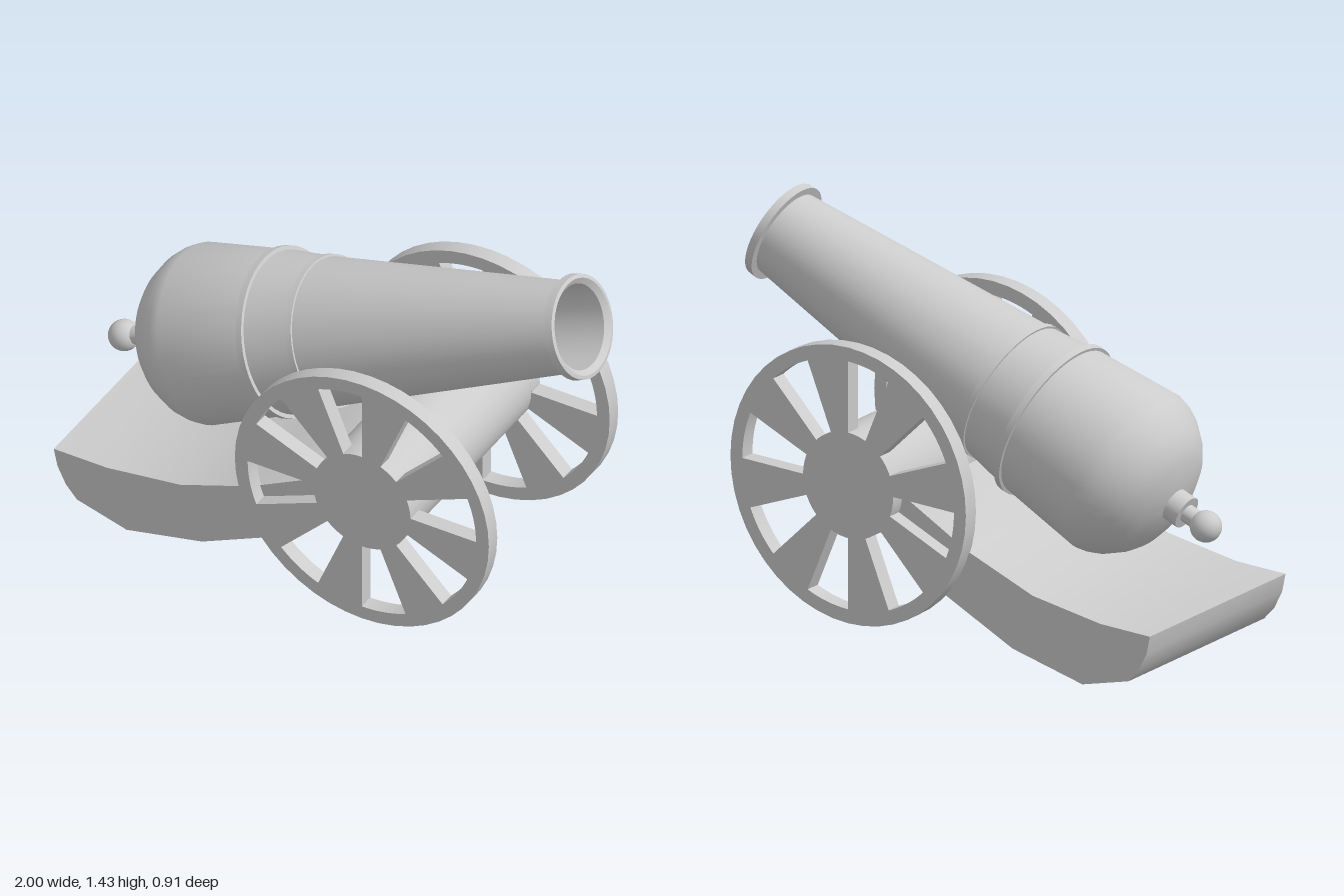
import * as THREE from 'three';
import { toCreasedNormals } from 'three/addons/utils/BufferGeometryUtils.js';

const material = new THREE.MeshStandardMaterial({ color: 0xcccccc });

function addMesh(parent, name, geometry) {
  const mesh = new THREE.Mesh(geometry, material);
  mesh.name = name;
  parent.add(mesh);
  return mesh;
}

// Turned part: [radius, distance along axis] pairs
function turned(points, segments = 48) {
  const profile = points.map(([r, t]) => new THREE.Vector2(r, t));
  return toCreasedNormals(new THREE.LatheGeometry(profile, segments), 0.6);
}

// Flat disc with eight sector-shaped openings between the spokes
function wheelGeometry(depth) {
  const shape = new THREE.Shape().absarc(0, 0, 0.523, 0, Math.PI * 2, false);
  const width = Math.PI / 8;
  for (let i = 0; i < 8; i++) {
    const a = (i * Math.PI) / 4;
    const hole = new THREE.Path();
    hole.absarc(0, 0, 0.47, a, a + width, false);
    hole.absarc(0, 0, 0.2, a + width, a, true);
    hole.closePath();
    shape.holes.push(hole);
  }
  const g = new THREE.ExtrudeGeometry(shape, { depth, bevelEnabled: false, curveSegments: 24 });
  g.translate(0, 0, -depth / 2);
  return toCreasedNormals(g, 0.5);
}

export function createModel() {
  const model = new THREE.Group();
  model.name = 'cannon';

  // Barrel group: local y runs from the rear knob to the muzzle
  const barrel = new THREE.Group();
  barrel.name = 'barrelAssembly';
  barrel.position.set(-0.935, 0.53, 0.017);
  barrel.quaternion.setFromUnitVectors(
    new THREE.Vector3(0, 1, 0),
    new THREE.Vector3(0.93, 0.364, -0.021).normalize()
  );
  model.add(barrel);

  // Barrel with rounded breech, two bands, muzzle rim and hollow bore
  addMesh(barrel, 'barrel', turned([
    [0, 0.145], [0.07, 0.15], [0.16, 0.172], [0.215, 0.2], [0.255, 0.235],
    [0.3, 0.295], [0.318, 0.335], [0.327, 0.375],
    [0.297, 0.705], [0.309, 0.705], [0.309, 0.73], [0.294, 0.73],
    [0.269, 0.9], [0.277, 0.9], [0.275, 0.922], [0.267, 0.922],
    [0.163, 1.968], [0.191, 1.968], [0.189, 2.0], [0.175, 2.003],
    [0.155, 1.985], [0.155, 1.35], [0, 1.35],
  ]));

  // Knob behind the breech
  addMesh(barrel, 'knobCollar', turned([[0, 0.09], [0.062, 0.09], [0.062, 0.16], [0, 0.16]], 32));
  addMesh(barrel, 'knobNeck', turned([[0.034, 0.03], [0.034, 0.1]], 32));
  addMesh(barrel, 'knob', new THREE.SphereGeometry(0.058, 32, 20));

  // Trail: side profile extruded across the carriage
  const trail = [
    [-1, 0.25], [-0.985, 0.18], [-0.95, 0.11], [-0.905, 0.06], [-0.7, 0.003],
    [-0.39, 0.07], [-0.085, 0.21], [0.16, 0.405], [0.3, 0.55], [0.1, 0.545],
    [-0.19, 0.395], [-0.48, 0.29], [-0.78, 0.25],
  ].map(([x, y]) => new THREE.Vector2(x, y));
  const trailGeometry = new THREE.ExtrudeGeometry(new THREE.Shape(trail), { depth: 0.806, bevelEnabled: false });
  trailGeometry.translate(0, 0, -0.403);
  addMesh(model, 'trail', toCreasedNormals(trailGeometry, 0.6));

  // Thick axle between the wheels
  const axle = addMesh(model, 'axle', new THREE.CylinderGeometry(0.2, 0.2, 0.81, 48));
  axle.rotation.x = Math.PI / 2;
  axle.position.set(0.3, 0.552, 0);

  // Wheels
  const wheel = wheelGeometry(0.06);
  for (const [name, side] of [['frontWheel', 1], ['backWheel', -1]]) {
    addMesh(model, name, wheel).position.set(0.3, 0.552, side * 0.427);
  }

  return model;
}
